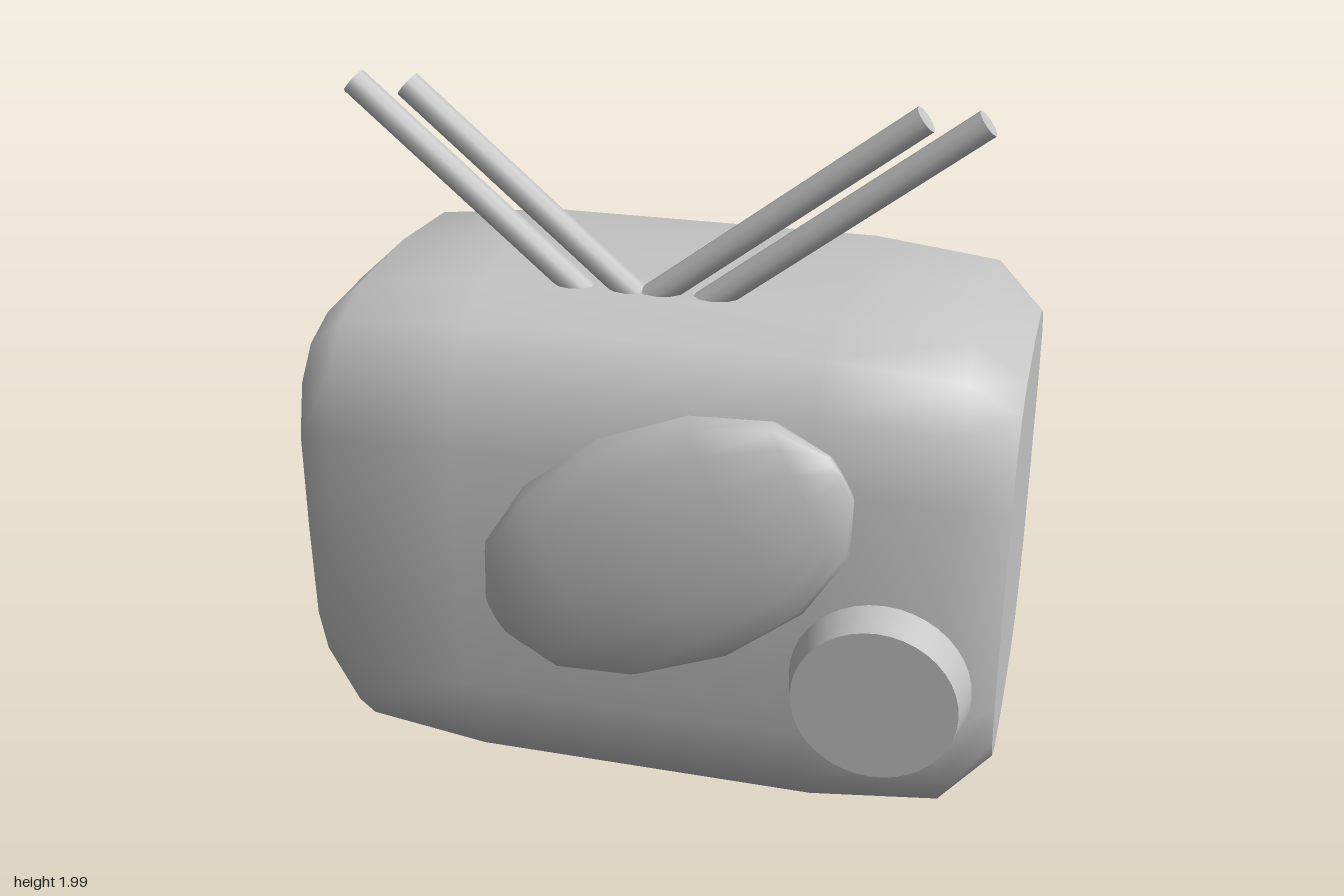
import * as THREE from 'three';

const grey = new THREE.MeshStandardMaterial({ color: 0xc4c4c4 });
grey.name = 'plain grey';

// Rounded-square section (one quarter), mirrored into a full loop of [z, y]
const quarter = [[0, 1], [0.52, 0.97], [0.76, 0.89], [0.91, 0.74], [0.99, 0.49]];
const lower = [[1, 0], ...quarter.slice(1).reverse().map(([z, y]) => [z, -y])];
const half = [...quarter, ...lower];
const loop = [...half, ...half.map(([z, y]) => [-z, -y])];

// Body lofted along x: [x, half depth, half height]
function bodyGeometry() {
  const rings = [
    [-0.965, 0.485, 0.575], [-0.83, 0.592, 0.7], [-0.48, 0.617, 0.737],
    [0.48, 0.617, 0.737], [0.83, 0.592, 0.7], [0.965, 0.485, 0.575],
  ];
  const n = loop.length, pos = [], idx = [];
  const addRing = ([x, d, h]) => {
    const start = pos.length / 3;
    for (const [z, y] of loop) pos.push(x, 0.744 + y * h, -0.007 + z * d);
    return start;
  };
  rings.forEach(addRing);
  for (let i = 0; i < rings.length - 1; i++) {
    for (let j = 0; j < n; j++) {
      const k = (j + 1) % n, a = i * n + j, b = i * n + k;
      idx.push(a, b, a + n, b, b + n, a + n);
    }
  }
  // Flat end caps with their own vertices for a crisp edge
  for (const [ring, flip] of [[rings[0], true], [rings[5], false]]) {
    const s = addRing(ring);
    for (let j = 1; j < n - 1; j++) {
      if (flip) idx.push(s, s + j + 1, s + j);
      else idx.push(s, s + j, s + j + 1);
    }
  }
  const g = new THREE.BufferGeometry();
  g.setAttribute('position', new THREE.Float32BufferAttribute(pos, 3));
  g.setIndex(idx);
  g.computeVertexNormals();
  return g;
}

export function createModel() {
  const model = new THREE.Group();
  const add = (name, geometry) => {
    const mesh = new THREE.Mesh(geometry, grey);
    mesh.name = name;
    model.add(mesh);
    return mesh;
  };

  add('body', bodyGeometry());

  // Slanted oval on the front: a coarse spindle, flattened in depth
  const spindle = [[0, -0.527], [0.066, -0.522], [0.202, -0.437], [0.3, -0.25], [0.337, 0],
    [0.3, 0.25], [0.202, 0.437], [0.066, 0.522], [0, 0.527]];
  const ovalGeometry = new THREE.LatheGeometry(spindle.map(([r, y]) => new THREE.Vector2(r, y)), 16, Math.PI / 2);
  ovalGeometry.rotateZ(-Math.PI / 3);
  ovalGeometry.scale(1, 1, 0.33);
  add('frontOval', ovalGeometry).position.set(0.11, 0.92, 0.655);

  // Tapered round dial on the front
  const dial = new THREE.CylinderGeometry(0.215, 0.237, 0.1, 40);
  dial.rotateX(Math.PI / 2);
  add('frontDial', dial).position.set(0.675, 0.577, 0.663);

  // Large tapered disc on the back
  const disc = new THREE.CylinderGeometry(0.433, 0.478, 0.142, 40);
  disc.rotateX(-Math.PI / 2);
  add('backDisc', disc).position.set(0.336, 0.66, -0.698);

  // Two pairs of antenna rods rising out of the top: [base x, tip x]
  const up = new THREE.Vector3(0, 1, 0);
  for (const [baseX, tipX] of [[-0.24, -0.825], [-0.09, -0.675], [0.005, 0.67], [0.155, 0.82]]) {
    const tip = new THREE.Vector3(tipX, 1.972, 0.255);
    const base = new THREE.Vector3(baseX, 1.465, 0.255);
    base.lerp(tip, -0.1); // sink the foot into the body
    const dir = tip.clone().sub(base);
    const rod = add('antennaRod', new THREE.CylinderGeometry(0.037, 0.037, dir.length(), 10));
    rod.position.copy(base).add(tip).multiplyScalar(0.5);
    rod.quaternion.setFromUnitVectors(up, dir.normalize());
  }

  return model;
}
